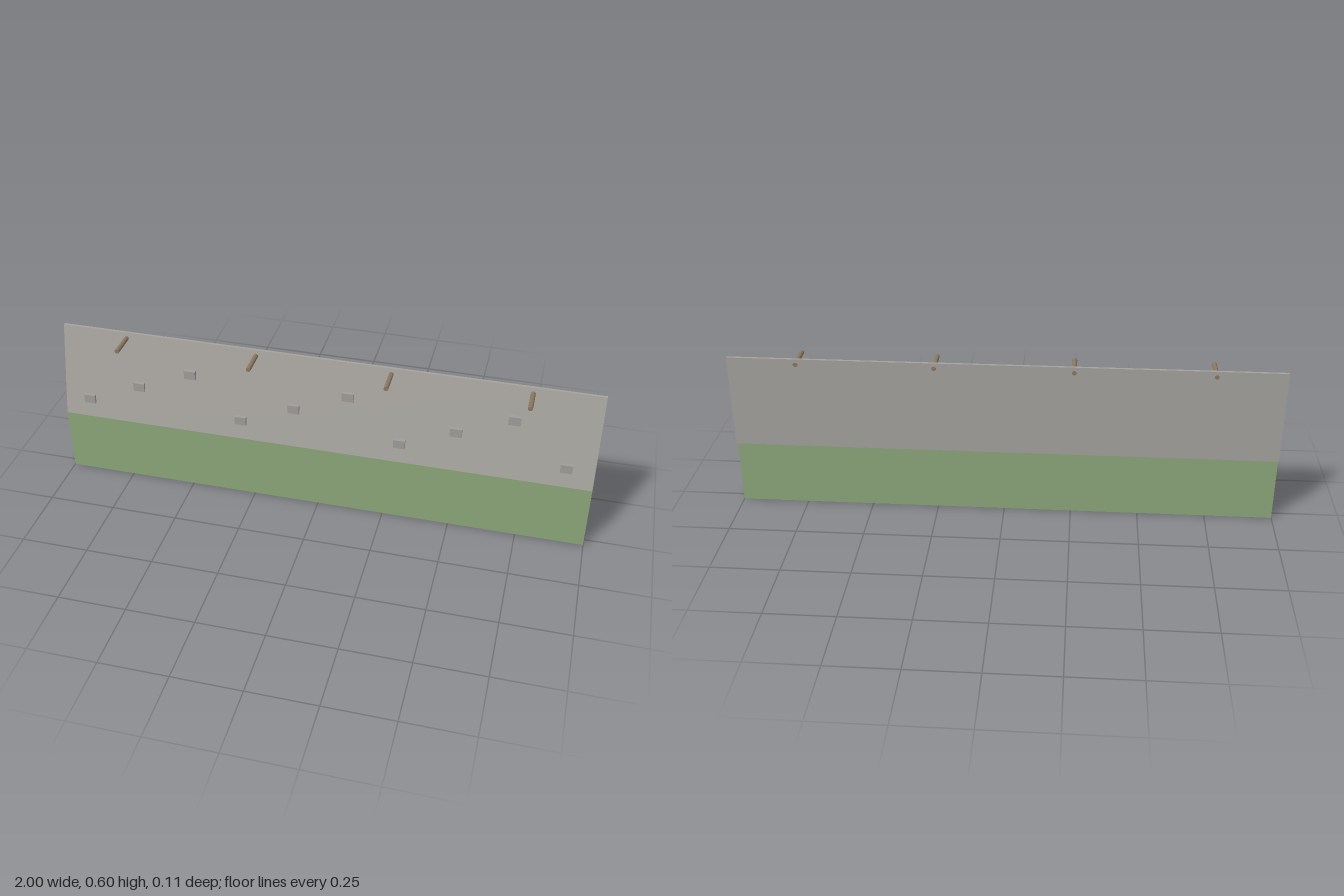
import * as THREE from 'three';

const mat = (name, color) => {
  const m = new THREE.MeshStandardMaterial({ color });
  m.name = name;
  return m;
};

export function createModel() {
  const stone = mat('grey stone', 0xa5a29d);
  const holdGrey = mat('hold grey', 0x9f9d99);
  const green = mat('green base', 0x8ca67a);
  const wood = mat('brown wood', 0x8b7860);
  const group = new THREE.Group();

  const add = (name, geometry, material, x, y, z) => {
    const mesh = new THREE.Mesh(geometry, material);
    mesh.name = name;
    mesh.position.set(x, y, z);
    group.add(mesh);
    return mesh;
  };

  // Upright base block
  add('base', new THREE.BoxGeometry(2, 0.252, 0.066), green, 0, 0.126, -0.002);

  // Sloped wall: side profile in (z, y), extruded along the width
  const profile = new THREE.Shape([
    [0.031, 0.252], [-0.055, 0.252], [-0.055, 0.602], [-0.045, 0.602],
  ].map(([z, y]) => new THREE.Vector2(-z, y)));
  const wallGeometry = new THREE.ExtrudeGeometry(profile, { depth: 2, bevelEnabled: false });
  wallGeometry.translate(0, 0, -1).rotateY(Math.PI / 2);
  add('slopedWall', wallGeometry, stone, 0, 0, 0);

  // Small blocks set in repeating diagonal rows
  const hold = new THREE.BoxGeometry(0.043, 0.034, 0.026);
  for (let i = 0; i < 10; i++) {
    const row = i % 3;
    add('wallBlock', hold, holdGrey, -0.9 + i * 0.2, 0.326 + row * 0.075, 0.012 - row * 0.016);
  }

  // Pegs that pass through the top of the wall
  const peg = new THREE.CylinderGeometry(0.0085, 0.0085, 0.112, 12).rotateX(Math.PI / 2);
  for (const x of [-0.75, -0.25, 0.25, 0.75]) add('peg', peg, wood, x, 0.581, 0);

  return group;
}
